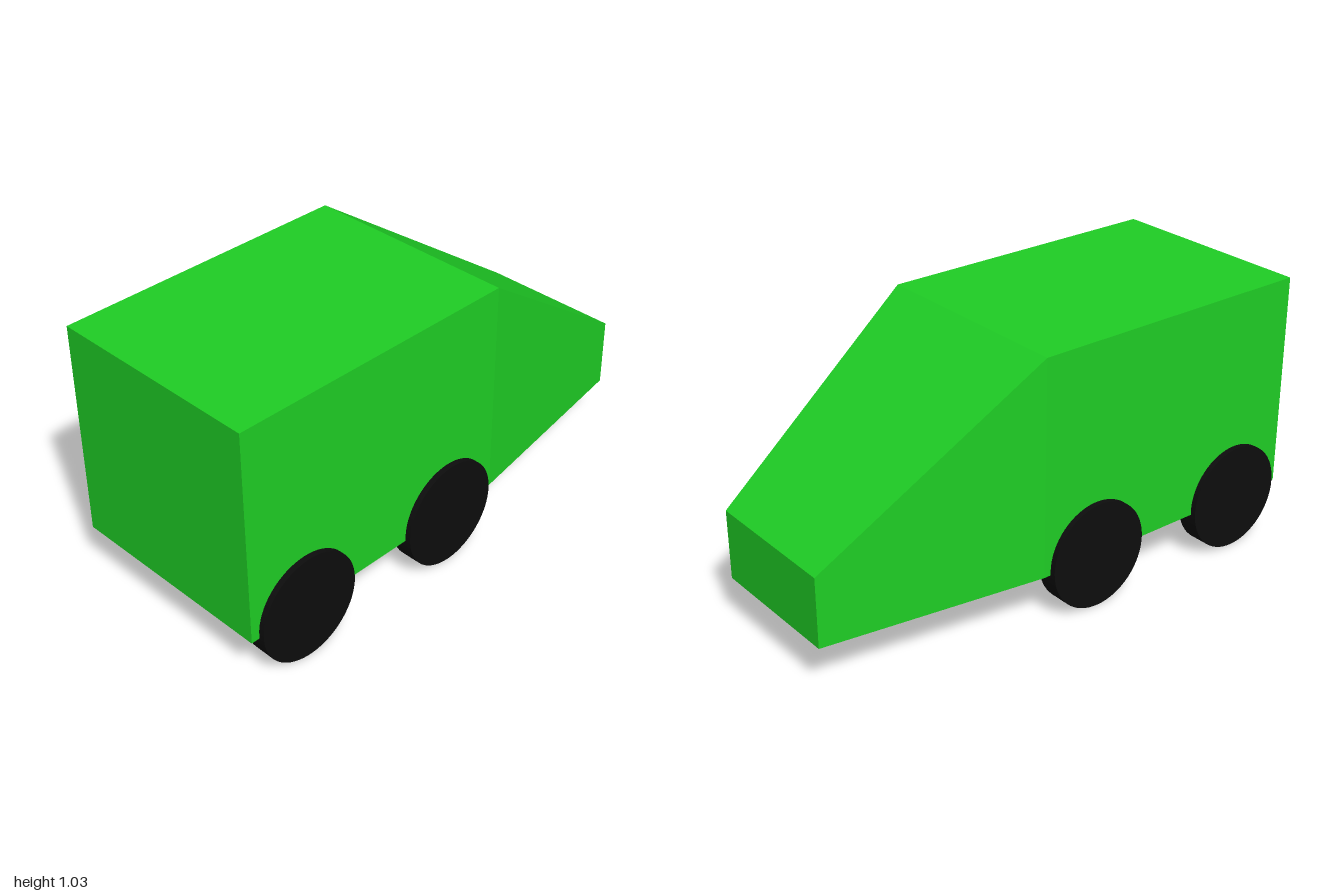
import * as THREE from 'three';

// Rectangular cross-sections of the body, from the front (+z) to the tapered end
const SECTIONS = [
  { z: 1.0, halfWidth: 0.42, bottom: 0.192, top: 1.03 },
  { z: -0.16, halfWidth: 0.42, bottom: 0.192, top: 1.03 },
  { z: -1.0, halfWidth: 0.28, bottom: 0.18, top: 0.45 },
];

// Joins the cross-sections with flat panels and closes both ends
function bodyGeometry() {
  const positions = [];
  const index = [];
  const quad = (a, b, c, d) => index.push(a, b, c, a, c, d);

  for (const { z, halfWidth: w, bottom, top } of SECTIONS) {
    positions.push(-w, bottom, z, w, bottom, z, w, top, z, -w, top, z);
  }
  for (let s = 0; s < SECTIONS.length - 1; s++) {
    for (let i = 0; i < 4; i++) {
      const a = s * 4 + i;
      const b = s * 4 + ((i + 1) % 4);
      quad(a, a + 4, b + 4, b);
    }
  }
  const last = (SECTIONS.length - 1) * 4;
  quad(0, 1, 2, 3);
  quad(last + 3, last + 2, last + 1, last);

  const indexed = new THREE.BufferGeometry();
  indexed.setAttribute('position', new THREE.Float32BufferAttribute(positions, 3));
  indexed.setIndex(index);
  const geometry = indexed.toNonIndexed();
  geometry.computeVertexNormals();
  return geometry;
}

export function createModel() {
  const model = new THREE.Group();
  model.name = 'van';

  const paint = new THREE.MeshStandardMaterial({ color: 0x1fce25 });
  const rubber = new THREE.MeshStandardMaterial({ color: 0x0d0d0d });

  const body = new THREE.Mesh(bodyGeometry(), paint);
  body.name = 'body';
  model.add(body);

  // Two pairs of disc wheels, standing slightly proud of the sides
  const radius = 0.207;
  const wheelGeometry = new THREE.CylinderGeometry(radius, radius, 0.084, 64);
  wheelGeometry.rotateZ(Math.PI / 2);
  for (const [end, z] of [['front', 0.76], ['rear', 0.075]]) {
    for (const [side, sign] of [['Left', 1], ['Right', -1]]) {
      const wheel = new THREE.Mesh(wheelGeometry, rubber);
      wheel.name = `${end}${side}Wheel`;
      wheel.position.set(sign * 0.4, radius, z);
      model.add(wheel);
    }
  }

  return model;
}
